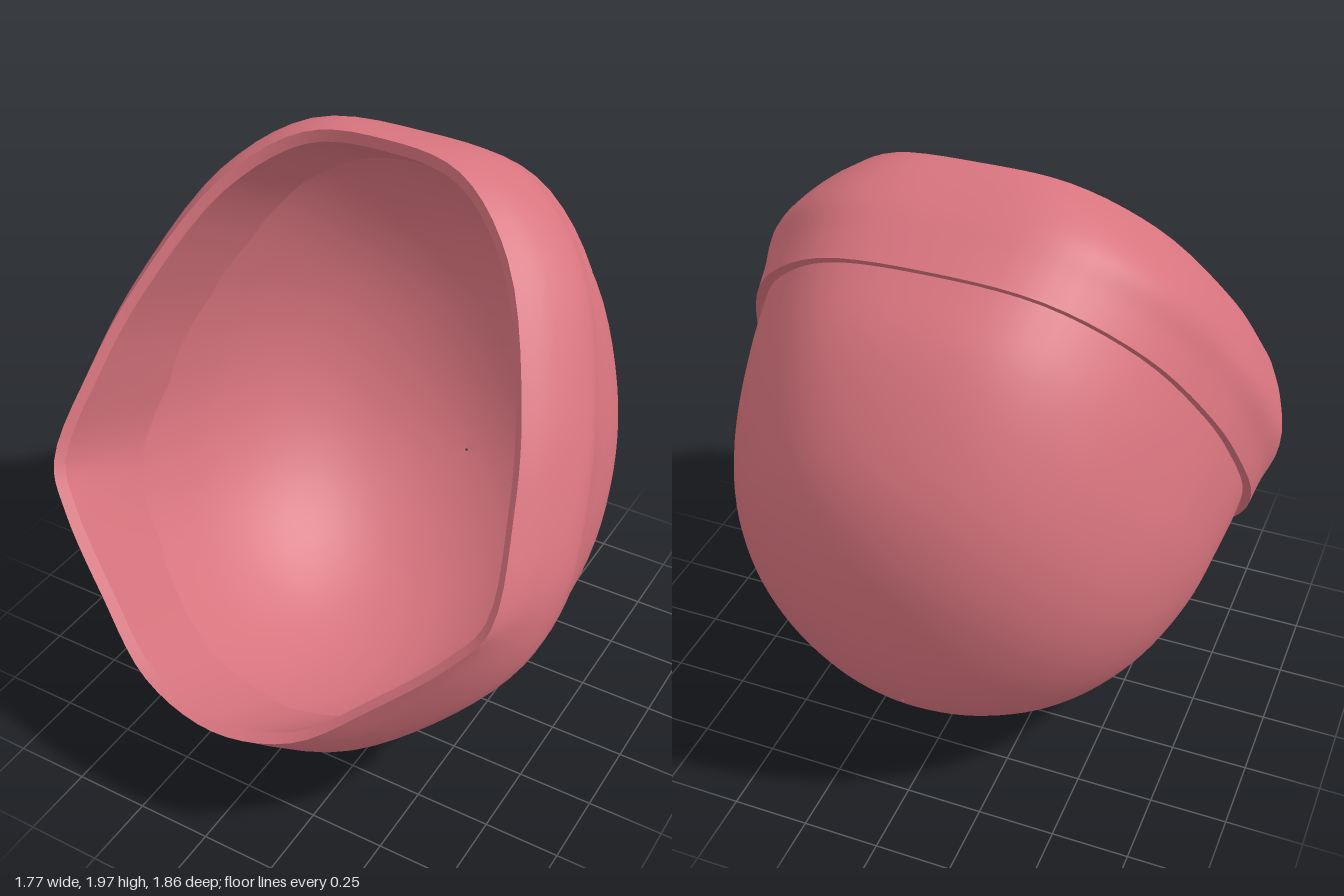
import * as THREE from 'three';

// Half outlines [x, y] of the cuff, bottom to top, in the plane of the opening
const RIM = [[0, -.95], [.27, -.88], [.5, -.68], [.7, -.47], [.785, -.33], [.75, 0], [.68, .28], [.5, .68], [.27, .89], [0, .93]];
const MID = [[0, -.97], [.32, -.92], [.6, -.72], [.82, -.45], [.885, -.2], [.86, .08], [.79, .36], [.62, .74], [.36, .96], [0, 1]];
const BACK = [[0, -.965], [.32, -.9], [.6, -.7], [.78, -.45], [.84, -.2], [.82, .1], [.76, .38], [.6, .74], [.34, .97], [0, 1.02]];
const COLS = 90;

const blend = (a, b, k) => a.map((p, i) => [p[0] + (b[i][0] - p[0]) * k, p[1] + (b[i][1] - p[1]) * k]);

// Mirror a half outline into a smooth closed ring at a depth behind the opening
function ring(half, depth, { scale = 1, bulge = 0, ragged = 0 } = {}) {
  const mirrored = half.slice(1, -1).reverse().map(([x, y]) => [-x, y]);
  const pts = [...half, ...mirrored].map(([x, y]) => new THREE.Vector3(x * scale, y * scale, 0));
  const curve = new THREE.CatmullRomCurve3(pts, true);
  return Array.from({ length: COLS }, (_, i) => {
    const p = curve.getPoint(i / COLS);
    const a = i / COLS * Math.PI * 2;
    p.z = -depth + bulge * (p.x / .78) ** 2
      + ragged * (Math.sin(a * 9) + .7 * Math.sin(a * 17 + 1) + .5 * Math.sin(a * 31));
    return p;
  });
}

// Skin a list of rings, with a smooth curve running through each column
function loft(rings, steps) {
  const pos = [], index = [];
  const columns = rings[0].map((_, i) => new THREE.CatmullRomCurve3(rings.map(r => r[i])));
  for (let j = 0; j <= steps; j++)
    for (const c of columns) pos.push(...c.getPoint(j / steps).toArray());
  for (let j = 0; j < steps; j++)
    for (let i = 0; i < COLS; i++) {
      const n = (i + 1) % COLS, a = j * COLS + i, b = j * COLS + n;
      index.push(a, a + COLS, b, b, a + COLS, b + COLS);
    }
  const geo = new THREE.BufferGeometry();
  geo.setAttribute('position', new THREE.Float32BufferAttribute(pos, 3));
  geo.setIndex(index);
  geo.computeVertexNormals();
  return geo;
}

export function createModel() {
  const model = new THREE.Group();
  model.name = 'knitCap';
  const hat = new THREE.Group();
  hat.name = 'tiltedCap';
  hat.position.set(0, 1.2, .395);
  hat.rotation.x = -.59;
  model.add(hat);

  const wool = new THREE.MeshStandardMaterial({ color: 0xd8747e, side: THREE.DoubleSide });
  const add = (name, geo) => {
    const mesh = new THREE.Mesh(geo, wool);
    mesh.name = name;
    hat.add(mesh);
  };

  // Crown: depth, lowest y, highest y, half width of each ring
  const crown = [
    [.2, -.93, .985, .81], [.4, -.945, .988, .81], [.6, -.92, .982, .79], [.8, -.865, .92, .755],
    [1, -.77, .81, .675], [1.157, -.63, .65, .56], [1.27, -.47, .46, .42], [1.35, -.28, .26, .25],
    [1.385, -.12, .11, .11], [1.395, -.005, .005, .005],
  ].map(([depth, lo, hi, w]) => {
    // the outline rounds off to an ellipse towards the crown
    const k = Math.min(1, Math.max(0, (depth - .4) / .7));
    const half = BACK.map(([x, y], i) => {
      const a = i / 9 * Math.PI;
      const v = (y + .965) / 1.985, u = x / .84;
      const ev = (1 - Math.cos(a)) / 2, eu = i === 0 || i === 9 ? 0 : Math.sin(a);
      return [w * (u + (eu - u) * k), lo + (hi - lo) * (v + (ev - v) * k)];
    });
    return ring(half, depth);
  });
  add('crown', loft(crown, 45));

  // Folded cuff: tucked back edge, then forward to the rim
  add('cuff', loft([
    ring(RIM, -.005, { bulge: .06 }),
    ring(blend(RIM, MID, .55), .08, { bulge: .03 }),
    ring(MID, .2),
    ring(blend(MID, BACK, .6), .31),
    ring(BACK, .405),
  ], 24));
  add('cuffBackEdge', loft([ring(BACK, .405), ring(BACK, .4, { scale: .965 })], 1));

  // Rim thickness and the inner wall with its uneven end
  add('rim', loft([
    ring(RIM, .015, { scale: .965, bulge: .06 }),
    ring(RIM, -.005, { bulge: .06 }),
  ], 1));
  add('innerWall', loft([
    ring(RIM, .015, { scale: .965, bulge: .06 }),
    ring(blend(RIM, BACK, .25), .2, { scale: .955 }),
    ring(blend(RIM, BACK, .5), .41, { scale: .945, ragged: .01 }),
  ], 14));

  return model;
}
